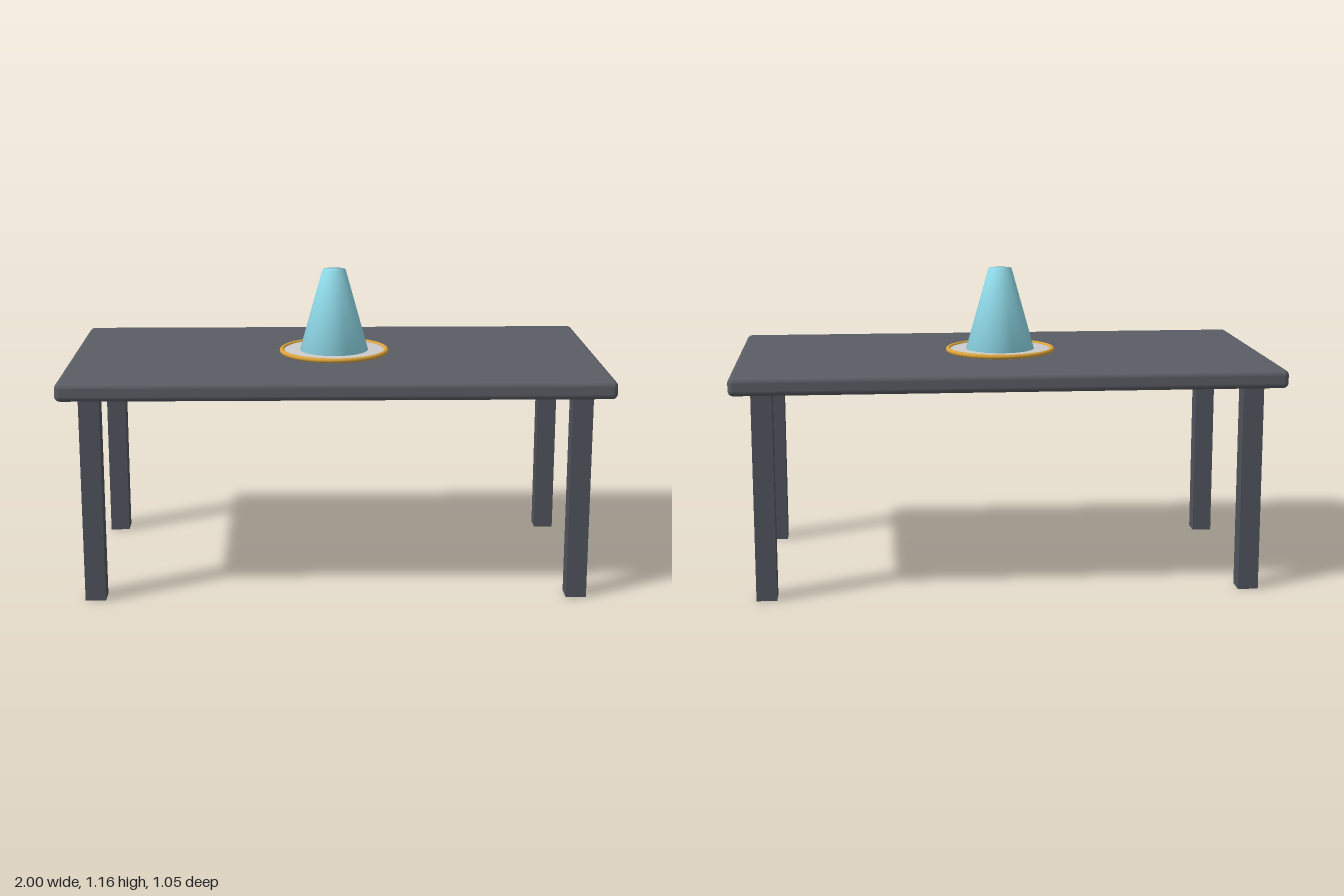
import * as THREE from 'three';
import { RoundedBoxGeometry } from 'three/addons/geometries/RoundedBoxGeometry.js';

export function createModel() {
  const model = new THREE.Group();
  model.name = 'table';

  const add = (name, geometry, color, x = 0, y = 0, z = 0) => {
    const material = new THREE.MeshStandardMaterial({ color });
    const mesh = new THREE.Mesh(geometry, material);
    mesh.name = name;
    mesh.position.set(x, y, z);
    model.add(mesh);
    return mesh;
  };
  // Profile runs from the bottom centre out and up to the top centre
  const lathe = (points) =>
    new THREE.LatheGeometry(points.map(([r, y]) => new THREE.Vector2(r, y)), 64);

  // Slab with softly rounded edges
  add('tabletop', new RoundedBoxGeometry(2, 0.067, 1.054, 4, 0.02), 0x5a5d64, 0, 0.8015, 0);

  // Four square legs, set in from the corners
  for (const [side, sx] of [['Right', -1], ['Left', 1]]) {
    for (const [end, sz] of [['back', -1], ['front', 1]]) {
      add(`${end}${side}Leg`, new THREE.BoxGeometry(0.075, 0.77, 0.075),
        0x50545c, sx * 0.888, 0.385, sz * 0.418);
    }
  }

  // Shallow plate with a gold rim
  add('plate', lathe([[0, 0.835], [0.2, 0.835], [0.2, 0.847], [0, 0.849]]), 0xcccccc);
  const rim = add('plateRim', new THREE.TorusGeometry(0.2, 0.009, 16, 64), 0xd9a23c, 0, 0.845, 0);
  rim.rotation.x = Math.PI / 2;

  // Tapered centrepiece, shaded smoothly over its flat ends
  add('centrepiece', lathe([[0, 0.846], [0.131, 0.846], [0.044, 1.157], [0, 1.157]]), 0x93dfee);

  return model;
}
